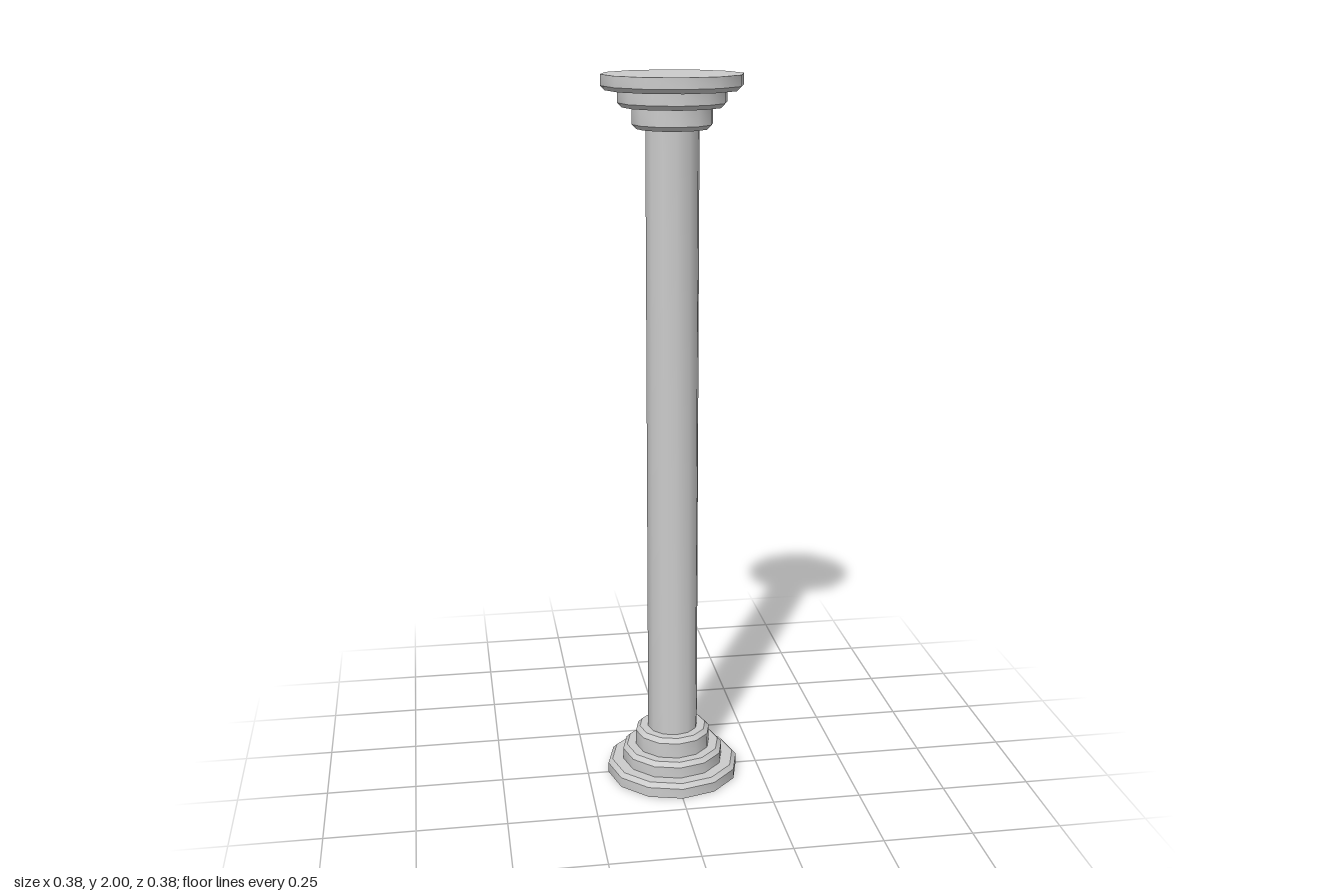
import * as THREE from 'three';
import { toCreasedNormals } from 'three/addons/utils/BufferGeometryUtils.js';

const SIDES = 12;
const HEIGHT = 2;
const CHAMFER = 0.012;
const material = new THREE.MeshStandardMaterial({ color: 0xcccccc });

// Closed twelve-sided solid turned from a [radius, y] profile listed bottom to top;
// smooth around the column, sharp between steps
function turned(name, profile) {
  const points = profile.map(([r, y]) => new THREE.Vector2(r, y));
  const lathe = new THREE.LatheGeometry(points, SIDES);
  const mesh = new THREE.Mesh(toCreasedNormals(lathe, 0.6), material);
  mesh.name = name;
  return mesh;
}

// Disc with a chamfered upper rim
function steppedDisc(name, radius, bottom, top) {
  return turned(name, [
    [0, bottom],
    [radius, bottom],
    [radius, top - CHAMFER],
    [radius - CHAMFER, top],
    [0, top],
  ]);
}

// Three discs, shrinking towards the shaft
function footing(name) {
  const group = new THREE.Group();
  group.name = name;
  group.add(
    steppedDisc('outerStep', 0.19, 0, 0.041),
    steppedDisc('middleStep', 0.146, 0.041, 0.085),
    steppedDisc('innerStep', 0.108, 0.085, 0.141),
  );
  return group;
}

export function createModel() {
  const model = new THREE.Group();
  model.name = 'column';

  const base = footing('base');

  // The capital is the base turned upside down
  const capital = footing('capital');
  capital.rotation.x = Math.PI;
  capital.position.y = HEIGHT;

  const shaft = turned('shaft', [
    [0, 0.13],
    [0.072, 0.13],
    [0.072, HEIGHT - 0.13],
    [0, HEIGHT - 0.13],
  ]);

  model.add(base, shaft, capital);
  return model;
}
